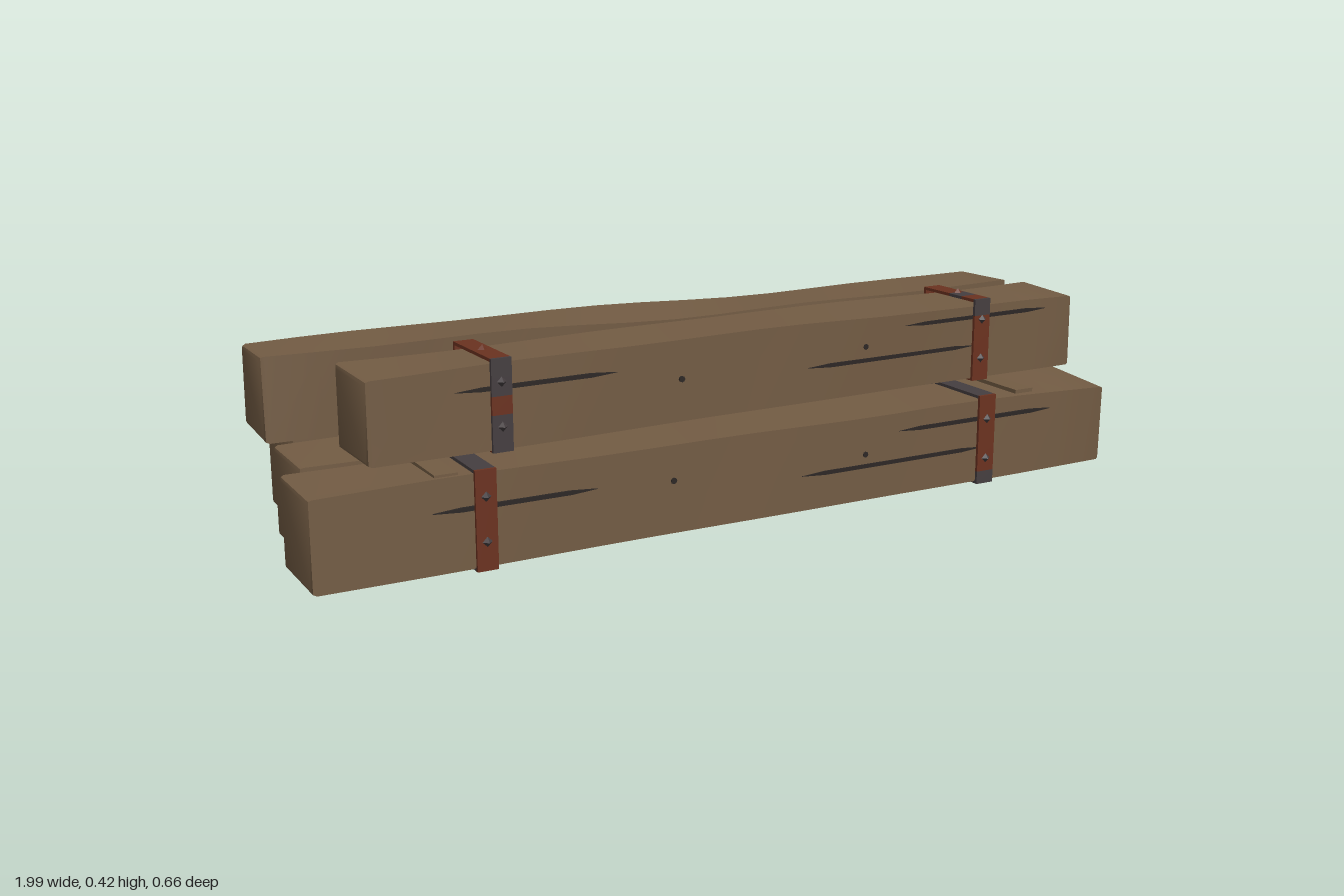
import * as THREE from 'three';
import { toCreasedNormals } from 'three/addons/utils/BufferGeometryUtils.js';

const mat = (name, color) => Object.assign(new THREE.MeshStandardMaterial({ color }), { name });

export function createModel() {
  const wood = mat('wood', 0x735c44);
  const rust = mat('rust', 0x6b3220);
  const iron = mat('dark iron', 0x453e40);
  const crackDark = mat('dark crack', 0x2c2725);
  const model = new THREE.Group();
  model.name = 'timberStack';

  function add(parent, name, geometry, material, x = 0, y = 0, z = 0) {
    const mesh = new THREE.Mesh(geometry, material);
    mesh.name = name;
    mesh.position.set(x, y, z);
    parent.add(mesh);
    return mesh;
  }
  const box = (parent, name, m, w, h, d, x, y, z) =>
    add(parent, name, new THREE.BoxGeometry(w, h, d), m, x, y, z);

  // Gentle unevenness of the hewn faces along a beam
  const wave = (x, seed) => 0.6 * Math.sin(x * 4.3 + seed) + 0.4 * Math.sin(x * 9.1 + seed * 2.3);

  // Softly bevelled square timber, subdivided along its length and warped
  function beamGeometry(length, h, d, seed, warp, endDrop) {
    const b = 0.01, w = d / 2 - b, t = h / 2 - b;
    const shape = new THREE.Shape([
      new THREE.Vector2(-w, -t), new THREE.Vector2(w, -t),
      new THREE.Vector2(w, t), new THREE.Vector2(-w, t),
    ]);
    const g = new THREE.ExtrudeGeometry(shape, {
      depth: length - 2 * b, steps: 16, bevelEnabled: true,
      bevelSize: b, bevelThickness: b, bevelSegments: 2,
    });
    g.translate(0, 0, b - length / 2);
    g.rotateY(Math.PI / 2); // length along x, shape x becomes -z
    const p = g.attributes.position;
    for (let i = 0; i < p.count; i++) {
      const x = p.getX(i), y = p.getY(i), z = p.getZ(i);
      const up = y > 0 ? 1 : 0, front = z > 0 ? 1 : 0;
      const end = Math.max(0, (x / length - 0.25) * 4);
      p.setY(i, y + warp * wave(x, seed + up * 2 + front) * (up ? 1 : 0.4) - endDrop * end * up * front);
      p.setZ(i, z + warp * wave(x, seed + 4 + up + front * 2));
    }
    return toCreasedNormals(g, 0.6);
  }

  // Tapered split in the front face of a beam
  function addCrack(parent, x0, x1, y, z, thick = 0.009) {
    const s = new THREE.Shape([
      new THREE.Vector2(x0, y), new THREE.Vector2(x0 + 0.06, y - thick / 2),
      new THREE.Vector2(x1 - 0.06, y - thick / 2), new THREE.Vector2(x1, y),
      new THREE.Vector2(x1 - 0.06, y + thick / 2), new THREE.Vector2(x0 + 0.06, y + thick / 2),
    ]);
    add(parent, 'crack', new THREE.ExtrudeGeometry(s, { depth: 0.006, bevelEnabled: false }), crackDark, 0, 0, z - 0.002);
  }
  function addKnot(parent, x, y, z) {
    const g = new THREE.CylinderGeometry(0.007, 0.007, 0.006, 8).rotateX(Math.PI / 2);
    add(parent, 'knot', g, crackDark, x, y, z);
  }

  // Beams: centre, length, section, yaw, warp, front cracks [x0, x1, y] and knots [x, y]
  const beams = [
    { name: 'lowerFrontBeam', x: -0.01, y: 0.105, z: 0.216, l: 1.98, h: 0.196, d: 0.19, yaw: 0, warp: 0.003, drop: 0.014,
      cracks: [[-0.74, -0.38, 0.03], [0.38, 0.82, 0.053], [0.12, 0.62, -0.017]], knots: [[-0.2, 0.02], [0.29, 0.01]] },
    { name: 'lowerMiddleBeam', x: 0.02, y: 0.101, z: -0.005, l: 1.94, h: 0.196, d: 0.196, yaw: 0, warp: 0.003, drop: 0,
      cracks: [[-0.6, -0.25, 0.03], [0.25, 0.7, -0.02]], knots: [] },
    { name: 'lowerBackBeam', x: 0.045, y: 0.102, z: -0.23, l: 1.89, h: 0.198, d: 0.196, yaw: 0, warp: 0.003, drop: 0,
      cracks: [[-0.65, -0.3, 0.04], [0.2, 0.65, -0.02]], knots: [] },
    { name: 'upperFrontBeam', x: 0.07, y: 0.308, z: 0.103, l: 1.84, h: 0.182, d: 0.176, yaw: 0.026, warp: 0.004, drop: 0.01,
      cracks: [[-0.73, -0.36, 0.04], [0.4, 0.83, 0.06], [0.13, 0.61, -0.01]], knots: [[-0.2, 0.005], [0.29, 0.022]] },
    { name: 'upperBackBeam', x: -0.013, y: 0.306, z: -0.139, l: 1.915, h: 0.182, d: 0.176, yaw: -0.027, warp: 0.007, drop: 0,
      cracks: [[-0.6, -0.25, 0.03], [0.2, 0.65, -0.02]], knots: [] },
  ];
  const groups = {};
  beams.forEach((b, i) => {
    const g = new THREE.Group();
    g.name = b.name;
    g.position.set(b.x, b.y, b.z);
    g.rotation.y = b.yaw;
    add(g, 'timber', beamGeometry(b.l, b.h, b.d, i * 1.7 + 0.5, b.warp, b.drop), wood);
    b.cracks.forEach(([x0, x1, y]) => addCrack(g, x0, x1, y, b.d / 2));
    b.knots.forEach(([x, y]) => addKnot(g, x, y, b.d / 2));
    groups[b.name] = g;
    model.add(g);
  });

  // Thin spacer battens between the two layers
  for (const x of [-0.715, 0.74])
    box(model, 'batten', wood, 0.05, 0.009, 0.62, x, 0.2055, -0.01);

  // Iron band around a beam: each side is a list of colours along its length
  function addStrap(parent, x, y, h, d, sides, studOnTop) {
    const g = new THREE.Group();
    g.name = 'strap';
    g.position.set(x, y, 0);
    const t = 0.007, w = 0.046;
    const row = (name, colours, vertical, offset) => colours.forEach((m, i) => {
      const span = vertical ? h : d - 2 * t, n = colours.length;
      const at = -span / 2 + (i + 0.5) * span / n;
      if (vertical) box(g, name, m, w, span / n, t, 0, at, offset);
      else box(g, name, m, w, t, span / n, 0, offset, at);
    });
    row('strapFront', sides.front, true, d / 2 - t / 2);
    row('strapBack', sides.back, true, -d / 2 + t / 2);
    row('strapTop', sides.top, false, h / 2 - t / 2);
    row('strapBottom', sides.bottom, false, -h / 2 + t / 2);
    // Pointed studs
    for (const sy of [0.05, -0.045])
      add(g, 'stud', new THREE.OctahedronGeometry(0.011), iron, 0, sy, d / 2);
    if (studOnTop) add(g, 'stud', new THREE.OctahedronGeometry(0.011), rust, 0, h / 2, 0.004);
    parent.add(g);
  }
  const lower = groups.lowerFrontBeam, upper = groups.upperFrontBeam;
  const lowerSides = { front: [rust], back: [iron], top: [iron], bottom: [iron] };
  addStrap(lower, -0.63, 0.003, 0.213, 0.212, lowerSides, false);
  addStrap(lower, 0.625, 0.003, 0.213, 0.212,
    { ...lowerSides, front: [iron, rust, rust, rust, rust, rust, rust] }, false);
  addStrap(upper, -0.63, 0.004, 0.199, 0.197,
    { front: [iron, iron, rust, iron, iron], back: [iron, rust], top: [rust], bottom: [rust] }, true);
  addStrap(upper, 0.625, 0.004, 0.199, 0.197,
    { front: [rust, rust, rust, rust, iron], back: [iron, rust], top: [rust, rust, iron, rust], bottom: [rust] }, true);

  return model;
}
